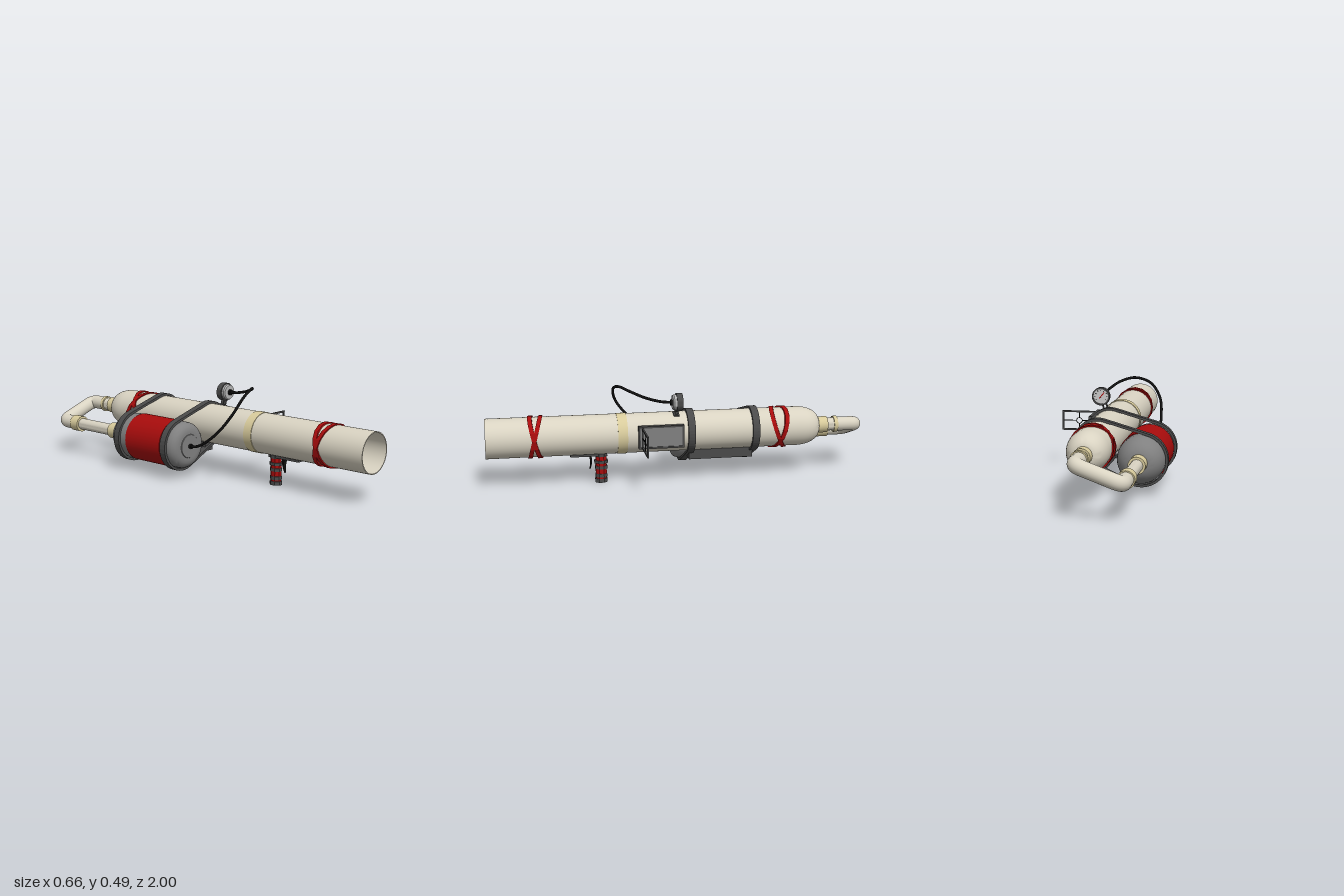
import * as THREE from 'three';
import { toCreasedNormals } from 'three/addons/utils/BufferGeometryUtils.js';

const mat = (color) => new THREE.MeshStandardMaterial({ color, side: THREE.DoubleSide });
const CREAM = mat(0xd9d3c2), TAN = mat(0xd8cb9c), GREY = mat(0x808080), DARK = mat(0x4a4a4a);
const RED = mat(0xa80c0c), BLACK = mat(0x101010), LIGHT = mat(0xb5b5b5), WHITE = mat(0xeeeeee);
const BX = 0.018, BY = 0.255, BR = 0.103; // barrel axis and radius
const TX = -0.197, TY = 0.173, TR = 0.122; // tank axis and radius

export function createModel() {
  const root = new THREE.Group();

  const add = (name, geo, material, x = 0, y = 0, z = 0, parent = root) => {
    const m = new THREE.Mesh(geo, material);
    m.name = name;
    m.position.set(x, y, z);
    parent.add(m);
    return m;
  };
  const box = (name, material, w, h, d, x, y, z, parent) =>
    add(name, new THREE.BoxGeometry(w, h, d), material, x, y, z, parent);
  // Profile of [radius, z] pairs turned about the z axis
  const turned = (profile, sides = 40) => {
    const g = new THREE.LatheGeometry(profile.map(([r, z]) => new THREE.Vector2(r, z)), sides);
    g.rotateX(Math.PI / 2);
    return toCreasedNormals(g, 0.6);
  };
  const ring = (rIn, rOut, z0, z1) => [[rIn, z0], [rOut, z0], [rOut, z1], [rIn, z1], [rIn, z0]];
  const dome = (r, r0, z, depth, n = 8) => Array.from({ length: n + 1 }, (_, i) => {
    const a = (i / n) * Math.PI / 2;
    return [r0 + (r - r0) * Math.sin(a), z - depth * Math.cos(a)];
  });

  // Hollow barrel with domed rear
  add('barrel', turned([[0, -0.75], ...dome(BR, 0.035, -0.63, 0.12),
    [BR, 1], [0.098, 1], [0.098, -0.6], [0, -0.6]], 48), CREAM, BX, BY);
  add('barrelTape', turned(ring(0.1, 0.1055, 0.28, 0.33), 48), TAN, BX, BY);

  // Pairs of crossed elastic bands, sheared along the barrel
  const band = (z, tiltY, tiltX) => {
    const g = turned(ring(0.1, 0.111, -0.011, 0.011), 16);
    const p = g.attributes.position;
    for (let i = 0; i < p.count; i++) p.setZ(i, p.getZ(i) + tiltY * p.getY(i) + tiltX * p.getX(i));
    g.computeVertexNormals();
    add('elasticBand', g, RED, BX, BY, z);
  };
  band(0.745, 0.25, 0.1);
  band(0.745, -0.25, 0.1);
  band(-0.53, 0.34, 0.27);
  band(-0.525, -0.28, -0.2);

  // Tank with rounded front rim, domed rear and red sleeve
  const rim = Array.from({ length: 6 }, (_, i) => {
    const a = (i / 5) * Math.PI / 2;
    return [0.075 + 0.045 * Math.cos(a), -0.032 + 0.045 * Math.sin(a)];
  });
  add('tank', turned([[0, -0.495], ...dome(0.12, 0.03, -0.38, 0.115), ...rim,
    [0.062, 0.013], [0.06, 0.016], [0, 0.016]], 40), GREY, TX, TY);
  add('tankSleeve', turned(ring(0.118, 0.1235, -0.335, -0.085), 40), RED, TX, TY);

  // Straps round the outline of tank and barrel together
  const dx = BX - TX, dy = BY - TY;
  const phi = Math.atan2(dy, dx), span = Math.acos((TR - BR) / Math.hypot(dx, dy));
  const outline = (path, grow) => {
    path.absarc(TX, TY, TR + grow, phi + span, phi + 2 * Math.PI - span, false);
    path.absarc(BX, BY, BR + grow, phi - span, phi + span, false);
    path.closePath();
    return path;
  };
  for (const z of [-0.07, -0.41]) {
    const shape = outline(new THREE.Shape(), 0.0135);
    shape.holes.push(outline(new THREE.Path(), 0.001));
    add('strap', new THREE.ExtrudeGeometry(shape, { depth: 0.037, bevelEnabled: false, curveSegments: 10 }),
      DARK, 0, 0, z);
  }
  box('underBarrelBlock', DARK, 0.055, 0.06, 0.34, BX, 0.134, -0.22);

  // Rear return pipe with two rounded elbows
  const pipeY = 0.175, pipeX = -0.2, backZ = -0.962, bend = 0.04;
  const cornerA = new THREE.Vector3(BX, BY, backZ), cornerB = new THREE.Vector3(pipeX, pipeY, backZ);
  const across = cornerB.clone().sub(cornerA).normalize().multiplyScalar(bend);
  const a0 = new THREE.Vector3(BX, BY, backZ + bend), a1 = cornerA.clone().add(across);
  const b0 = cornerB.clone().sub(across), b1 = new THREE.Vector3(pipeX, pipeY, backZ + bend);
  const path = new THREE.CurvePath();
  path.add(new THREE.LineCurve3(new THREE.Vector3(BX, BY, -0.83), a0));
  path.add(new THREE.QuadraticBezierCurve3(a0, cornerA, a1));
  path.add(new THREE.LineCurve3(a1, b0));
  path.add(new THREE.QuadraticBezierCurve3(b0, cornerB, b1));
  path.add(new THREE.LineCurve3(b1, new THREE.Vector3(pipeX, pipeY, -0.84)));
  add('returnPipe', new THREE.TubeGeometry(path, 90, 0.037, 24), CREAM);
  add('lowerPipe', turned([[0.031, -0.85], [0.031, -0.48]], 24), CREAM, pipeX, pipeY);
  add('barrelNeck', turned([[0.034, -0.85], [0.034, -0.72]], 24), CREAM, BX, BY);
  for (const [x, y, z0, z1] of [[BX, BY, -0.8, -0.745], [BX, BY, -0.855, -0.835],
    [pipeX, pipeY, -0.87, -0.81], [pipeX, pipeY, -0.56, -0.495]]) {
    add('pipeCollar', turned(ring(0.029, 0.043, z0, z1), 24), TAN, x, y);
  }

  // Grip: stacked eight-sided rings of grey and red
  const grip = new THREE.Group();
  grip.name = 'grip';
  grip.position.set(BX, 0, 0.41);
  root.add(grip);
  const layers = [[0, 0.02, 0.028, DARK], [0.02, 0.028, 0.024, RED], [0.028, 0.046, 0.027, DARK],
    [0.046, 0.072, 0.025, RED], [0.072, 0.088, 0.028, DARK], [0.088, 0.103, 0.025, RED],
    [0.103, 0.117, 0.031, DARK], [0.117, 0.138, 0.025, RED], [0.138, 0.158, 0.028, DARK]];
  for (const [y0, y1, r, m] of layers) {
    const g = new THREE.CylinderGeometry(r, r, y1 - y0, 8).toNonIndexed();
    g.rotateY(Math.PI / 8);
    g.scale(1.04, 1, 1.2);
    g.computeVertexNormals();
    add('gripRing', g, m, 0, (y0 + y1) / 2, 0, grip);
  }
  box('gripPlate', DARK, 0.05, 0.014, 0.19, BX, 0.15, 0.475);

  // Trigger: curved blade tapering downwards
  const blade = new THREE.BoxGeometry(1, 0.075, 0.012, 1, 6, 1);
  const bp = blade.attributes.position;
  for (let i = 0; i < bp.count; i++) {
    const t = 0.5 - bp.getY(i) / 0.075;
    bp.setX(i, bp.getX(i) * (0.03 - 0.022 * t));
    bp.setZ(i, bp.getZ(i) * (1 - 0.6 * t) + 0.022 * t * t - 0.02 * t);
  }
  blade.computeVertexNormals();
  add('trigger', blade, BLACK, BX, 0.108, 0.467);

  // Sight: side mount with recessed panel, open frame and cross hairs
  const rectangle = (p, w, h) => {
    p.moveTo(-w / 2, -h / 2).lineTo(w / 2, -h / 2).lineTo(w / 2, h / 2).lineTo(-w / 2, h / 2).closePath();
    return p;
  };
  const frame = (w, h, border, depth) => {
    const s = rectangle(new THREE.Shape(), w, h);
    s.holes.push(rectangle(new THREE.Path(), w - 2 * border, h - 2 * border));
    return new THREE.ExtrudeGeometry(s, { depth, bevelEnabled: false });
  };
  box('sightPanel', GREY, 0.03, 0.105, 0.22, 0.121, BY, 0.11);
  const rimGeo = frame(0.235, 0.118, 0.009, 0.026);
  rimGeo.rotateY(Math.PI / 2);
  add('sightPanelRim', rimGeo, DARK, 0.115, BY, 0.11);
  add('sightFrame', frame(0.187, 0.108, 0.009, 0.008), DARK, 0.236, BY, 0.205);
  for (const s of [-1, 1]) {
    box('crossHair', BLACK, 0.072, 0.004, 0.004, 0.236 + s * 0.051, BY, 0.209);
    box('crossHair', BLACK, 0.004, 0.034, 0.004, 0.236, BY + s * 0.032, 0.209);
  }
  add('sightRing', new THREE.TorusGeometry(0.0155, 0.002, 6, 24), BLACK, 0.236, BY, 0.209);

  // Pressure gauge on two legs, dial facing the rear
  const gx = 0.077, gy = 0.421;
  add('gaugeCase', turned([[0, 0.004], [0.041, 0.004], [0.041, 0.037], [0.036, 0.044], [0, 0.046]], 32), LIGHT, gx, gy);
  add('gaugeBezel', turned(ring(0.039, 0.047, -0.006, 0.025), 32), DARK, gx, gy);
  add('gaugeFace', turned([[0, 0], [0.04, 0], [0.04, 0.004]], 32), WHITE, gx, gy);
  for (let i = 0; i < 9; i++) {
    const a = -0.6 + i * 0.54;
    box('dialMark', BLACK, 0.008, 0.003, 0.002, gx + 0.032 * Math.cos(a), gy + 0.032 * Math.sin(a), -0.001)
      .rotation.z = a;
  }
  box('needle', RED, 0.005, 0.042, 0.002, gx - 0.005, gy + 0.006, -0.002).rotation.z = 0.7;
  const stand = new THREE.Group();
  stand.name = 'gaugeStand';
  stand.position.set(BX, BY, 0.02);
  stand.rotation.z = -Math.atan2(gx - BX, gy - BY);
  root.add(stand);
  for (const s of [-1, 1]) box('gaugeLeg', DARK, 0.006, 0.045, 0.016, s * 0.01, 0.122, 0, stand);
  box('gaugeFoot', DARK, 0.04, 0.008, 0.03, 0, 0.104, 0, stand);

  // Hose from gauge to tank, with end plugs
  const hose = [[gx, gy, 0.04], [0.074, 0.426, 0.1], [0.055, 0.445, 0.18], [0.01, 0.472, 0.255],
    [-0.06, 0.485, 0.305], [-0.14, 0.455, 0.325], [-0.193, 0.38, 0.305], [-0.211, 0.29, 0.235],
    [-0.211, 0.215, 0.14], [-0.2, 0.178, 0.06], [TX, TY, 0.01]].map((p) => new THREE.Vector3(...p));
  add('hose', new THREE.TubeGeometry(new THREE.CatmullRomCurve3(hose), 80, 0.0072, 10), BLACK);
  add('gaugePlug', turned([[0, 0.04], [0.015, 0.04], [0.015, 0.055], [0, 0.055]], 20), BLACK, gx, gy);
  add('tankPlug', turned([[0, 0.01], [0.012, 0.01], [0.012, 0.03], [0, 0.03]], 20), BLACK, TX, TY);

  return root;
}
